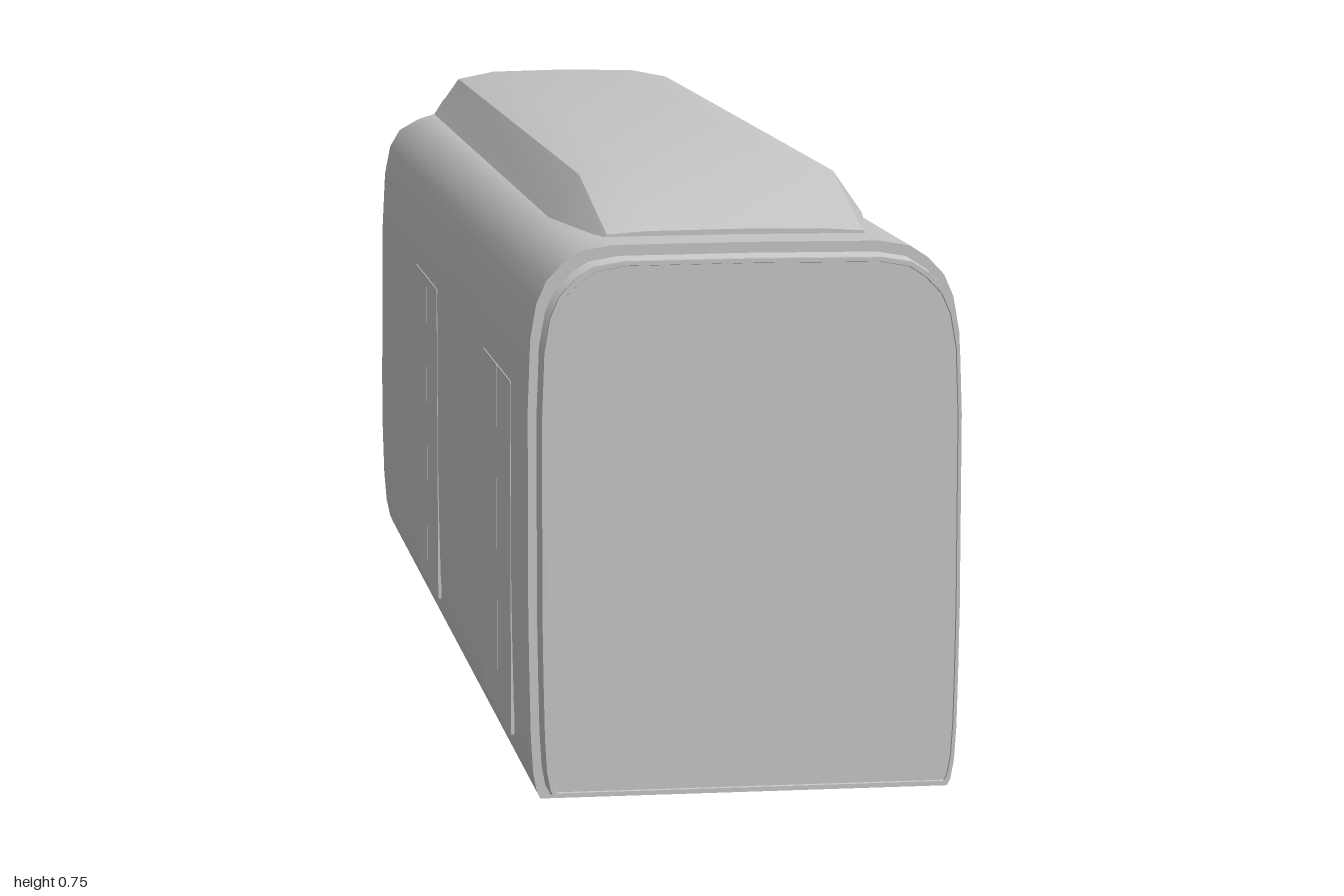
import * as THREE from 'three';
import { toCreasedNormals } from 'three/addons/utils/BufferGeometryUtils.js';

// body levels from floor to roof: height, half width, z of the nose
const LEVELS = [
  [0.06, 0.232, -0.955], [0.068, 0.236, -0.975], [0.09, 0.24, -0.988], [0.13, 0.2425, -0.996],
  [0.2, 0.244, -1], [0.27, 0.245, -0.99], [0.4, 0.245, -0.975], [0.5, 0.245, -0.963],
  [0.58, 0.242, -0.95], [0.62, 0.235, -0.94], [0.645, 0.224, -0.915], [0.665, 0.205, -0.85],
  [0.678, 0.185, -0.79], [0.684, 0.15, -0.75], [0.685, 0, -0.72],
];
const FRONT = 0.95, CORNER = 0.18, STEPS = 32;

// skin between rings of equal point count; isGlass picks quads for the second material
function loft(rings, closed = false, isGlass = () => false) {
  const n = rings[0].length, cols = closed ? n : n - 1;
  const lists = [[], []];
  for (let j = 0; j < rings.length - 1; j++) {
    for (let i = 0; i < cols; i++) {
      const k = (i + 1) % n, a = j * n + i, b = j * n + k, c = a + n, d = b + n;
      lists[isGlass(j, i) ? 1 : 0].push(a, b, d, a, d, c);
    }
  }
  const geo = new THREE.BufferGeometry();
  geo.setAttribute('position', new THREE.Float32BufferAttribute(rings.flat(2), 3));
  geo.setIndex([...lists[0], ...lists[1]]);
  geo.addGroup(0, lists[0].length, 0);
  if (lists[1].length) geo.addGroup(lists[0].length, lists[1].length, 1);
  geo.computeVertexNormals();
  return geo;
}

// U-shaped plan outline at one height: straight sides and a rounded nose
function planRing([y, w, nose]) {
  const ring = [[w, y, FRONT]];
  const soft = (v) => Math.sign(v) * Math.abs(v) ** (2 / 3.6);
  for (let i = 0; i <= STEPS; i++) {
    const t = (i / STEPS) * Math.PI;
    ring.push([w * soft(Math.cos(t)), y, nose + CORNER - CORNER * soft(Math.sin(t))]);
  }
  ring.push([-w, y, FRONT]);
  return ring;
}

// closed body cross-section, scaled about its middle, at one z
function sectionRing(z, s) {
  const right = LEVELS.map(([y, w]) => [w * s, 0.3725 + (y - 0.3725) * s, z]);
  const left = right.slice(0, -1).reverse().map(([x, y]) => [-x, y, z]);
  return [...right, ...left];
}

export function createModel() {
  const group = new THREE.Group();
  const paint = new THREE.MeshStandardMaterial({ color: 0xc4c4c4 });
  paint.name = 'light grey paint';
  const glass = new THREE.MeshStandardMaterial({ color: 0x333c42 });
  glass.name = 'dark glass';
  const add = (name, geo, material = paint, x = 0, y = 0, z = 0) => {
    const mesh = new THREE.Mesh(geo, material);
    mesh.name = name;
    mesh.position.set(x, y, z);
    group.add(mesh);
    return mesh;
  };

  // shell with the wrapped cab window
  const inWindow = (j, i) => j >= 5 && j < 9 && i > 6 && i < STEPS - 5;
  add('bodyShell', loft(LEVELS.map(planRing), false, inWindow), [paint, glass]);
  const [y0, w0, n0] = LEVELS[0];
  add('floor', loft([planRing([y0, 0, n0]), planRing([y0, w0, n0])]));

  // ribbed gangway and its end panel
  const ribs = [[0.95, 1], [0.95, 0.95], [0.96, 0.965], [0.967, 0.95], [0.977, 0.965],
    [0.984, 0.95], [0.992, 0.96], [1, 0.96], [1, 0.945], [0.997, 0.943], [0.997, 0]];
  add('gangway', toCreasedNormals(loft(ribs.map(([z, s]) => sectionRing(z, s)), true), 0.6));

  // roof fairing with sloping ends
  const low = [[0.15, 0.683], [0.146, 0.687], [0.1, 0.69], [0, 0.691]];
  const high = [[0.185, 0.683], [0.15, 0.733], [0.1, 0.743], [0, 0.745]];
  const arch = (half, z) => [...half, ...half.slice(0, 3).reverse().map(([x, y]) => [-x, y])]
    .map(([x, y]) => [x, y, z]);
  const tip = (z) => arch(low.map(() => [0, 0.685]), z);
  const fairing = loft([tip(-0.875), arch(low, -0.875), arch(high, -0.655),
    arch(high, 0.665), arch(low, 0.875), tip(0.875)], true);
  add('roofFairing', toCreasedNormals(fairing, 0.5));

  // double doors on both sides, two thin leaves each
  const leaf = new THREE.BoxGeometry(0.004, 0.412, 0.136);
  for (const side of [1, -1]) {
    for (const centre of [0.65, -0.175]) {
      for (const half of [1, -1]) {
        add('doorLeaf', leaf, paint, side * 0.2438, 0.304, centre + half * 0.0695);
      }
    }
  }

  // bogie: flanged wheels, axles and a frame plate
  const wheelProfile = [[0, -0.014], [0.06, -0.014], [0.06, -0.008], [0.054, -0.004],
    [0.052, 0.014], [0, 0.014]].map(([r, h]) => new THREE.Vector2(r, h));
  const wheel = toCreasedNormals(new THREE.LatheGeometry(wheelProfile, 32), 0.5);
  const axle = new THREE.CylinderGeometry(0.008, 0.008, 0.3, 12);
  for (const z of [-0.4, -0.77]) {
    for (const side of [1, -1]) {
      add('wheel', wheel, paint, side * 0.154, 0.06, z).rotation.z = -side * Math.PI / 2;
    }
    add('axle', axle, paint, 0, 0.063, z).rotation.z = Math.PI / 2;
  }
  add('bogieFrame', new THREE.BoxGeometry(0.28, 0.01, 0.37), paint, 0, 0.06, -0.585);

  return group;
}
